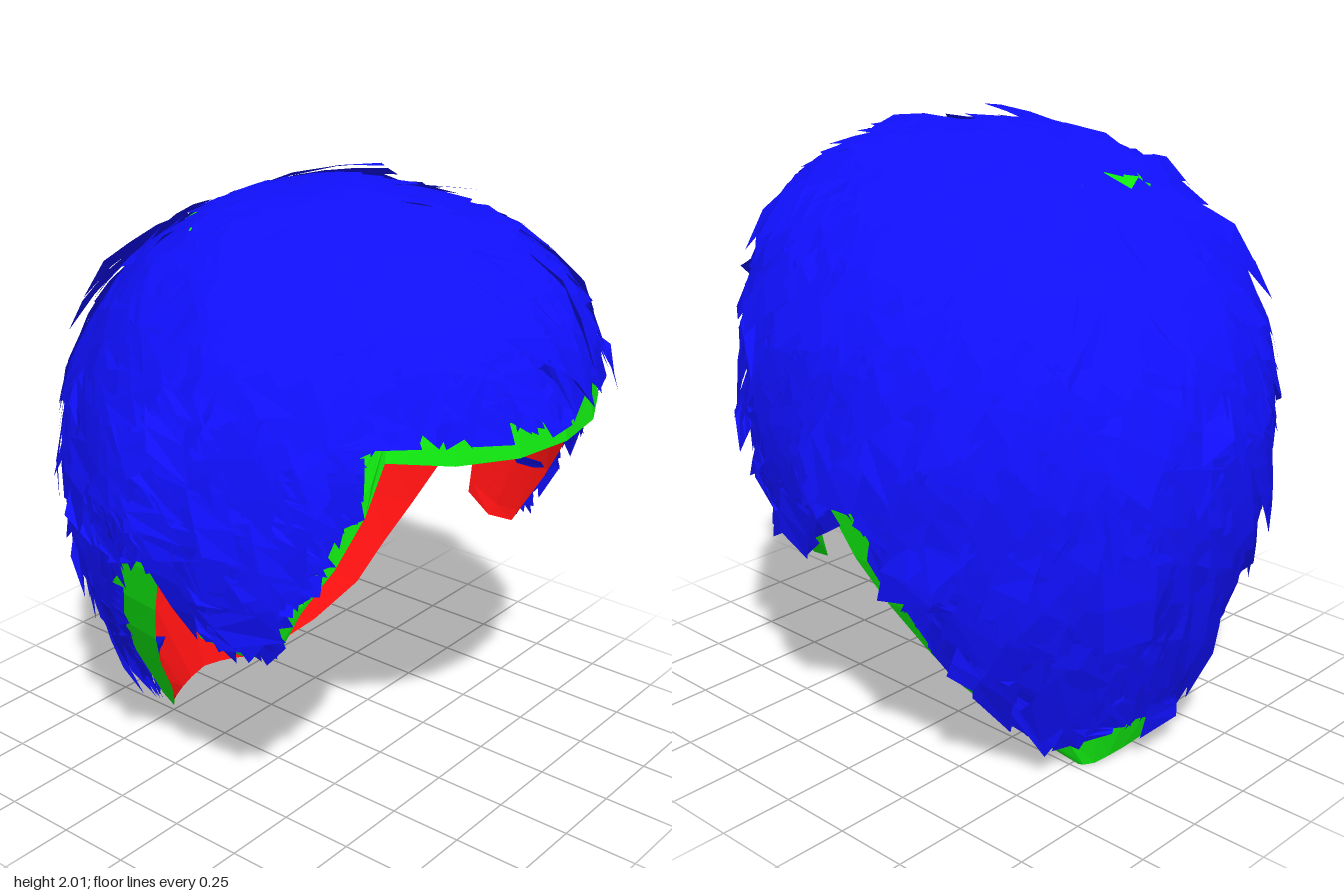
import * as THREE from 'three';

// Head cross-sections: [y, half width, centre z, front depth, back depth]
const RINGS = [
  [0, .23, -.52, .8, .06], [.1, .34, -.4, .8, .21], [.3, .5, -.25, .9, .44], [.5, .63, -.18, .95, .58],
  [.7, .73, -.08, .95, .74], [.9, .785, 0, .87, .855], [1.1, .805, 0, .87, .875], [1.33, .775, 0, .915, .835],
  [1.45, .735, 0, .895, .785], [1.6, .67, 0, .87, .69], [1.75, .55, 0, .785, .55], [1.85, .42, 0, .62, .41],
  [1.92, .23, 0, .35, .23], [1.955, .01, 0, .01, .01],
];
// Lower edge: [angle from the front in degrees, height]; it drops behind the ear
const HEM = [
  [0, 1.33], [15, 1.33], [30, 1.34], [44, 1.36], [46, 1.2], [51, 1.03], [58, .88], [63, .68], [70, .66],
  [79, .7], [84, .88], [89.9, .9], [90, 0], [105, 0], [125, 0], [145, .01], [162, .02], [180, .03],
];
const TOP = 1.955, EAR = .9;
const CENTRE = new THREE.Vector3(0, 1.05, 0);
const WHORL = new THREE.Vector3(-.03, 1.85, -.47);

let seed = 7;
const rand = (lo, hi) => {
  seed = (seed * 1664525 + 1013904223) % 4294967296;
  return lo + (hi - lo) * seed / 4294967296;
};

// Linear lookup in a table sorted by its first column
function lookup(table, v) {
  let i = 0;
  while (i < table.length - 2 && v > table[i + 1][0]) i++;
  const a = table[i], b = table[i + 1];
  const f = THREE.MathUtils.clamp((v - a[0]) / (b[0] - a[0]), 0, 1);
  return a.map((n, k) => n + (b[k] - n) * f);
}
const hemAt = (deg) => lookup(HEM, Math.abs(deg))[1];

function ringPoint(deg, y) {
  const [, w, zc, f, b] = lookup(RINGS, y);
  const a = deg * Math.PI / 180, c = Math.cos(a);
  return new THREE.Vector3(w * Math.sin(a), y, zc + c * (c > 0 ? f : b));
}

function ringCoords(p) {
  const [, w, zc, f, b] = lookup(RINGS, p.y);
  const x = p.x / w, z = (p.z - zc) / (p.z > zc ? f : b);
  return { deg: Math.atan2(Math.abs(x), z) * 180 / Math.PI, r: Math.hypot(x, z) };
}

// Push a point along its ray from the centre onto the head, plus an offset
function project(p, offset = 0) {
  const d = p.clone().sub(CENTRE).normalize();
  let lo = .2, hi = 1.6;
  for (let i = 0; i < 22; i++) {
    const k = (lo + hi) / 2, q = CENTRE.clone().addScaledVector(d, k);
    if (q.y > 0 && q.y < TOP && ringCoords(q).r < 1) lo = k; else hi = k;
  }
  return CENTRE.clone().addScaledVector(d, lo + offset);
}

// Is a strand point far enough above the hem?
function covered(p, trim) {
  const { deg } = ringCoords(p);
  if (deg < 45) return p.y > hemAt(deg) + .02 + trim;
  if (deg < 90) return p.y > hemAt(deg) + trim - .02;
  return p.y > EAR || (deg > 96 + 90 * trim && p.y > .09 + trim);
}

function makeGeometry(positions, index) {
  const g = new THREE.BufferGeometry();
  g.setAttribute('position', new THREE.Float32BufferAttribute(positions, 3));
  g.setIndex(index);
  g.computeVertexNormals();
  return g;
}

// Cap shell in two bands, crown to ear and ear to hem; the lining faces inward
function shell(scale, inward) {
  const angles = [...HEM.slice(1).reverse().map(h => -h[0]), ...HEM.map(h => h[0])];
  const upper = 12, lower = 6, rows = upper + lower, pos = [], idx = [];
  angles.forEach((deg, i) => {
    const hem = hemAt(deg), mid = Math.max(hem, EAR);
    for (let j = 0; j <= rows; j++) {
      const y = j <= upper
        ? TOP - (TOP - mid) * (j / upper) ** 1.6
        : mid - (mid - hem) * (j - upper) / lower;
      const p = ringPoint(deg, y).sub(CENTRE).multiplyScalar(scale).add(CENTRE);
      pos.push(p.x, p.y, p.z);
      // The lower band is open between sideburn and nape
      const open = j > upper && Math.abs(Math.abs(deg + angles[i - 1]) / 2 - 89.95) < .1;
      if (i === 0 || j === 0 || open) continue;
      const d = i * (rows + 1) + j, c = d - 1, b = d - rows - 1, a = b - 1;
      if (inward) idx.push(a, c, b, b, c, d);
      else idx.push(a, b, c, b, d, c);
    }
  });
  return makeGeometry(pos, idx);
}

// Overlapping flat locks that fan out from the whorl
function locks(count) {
  const pos = [], idx = [], segs = 3;
  for (let n = 0; n < count; n++) {
    const h = 1 - 2 * (n + .5) / count, r = Math.sqrt(1 - h * h), a = n * 2.39996;
    const root = project(new THREE.Vector3(r * Math.sin(a), h, r * Math.cos(a)).add(CENTRE));
    const trim = rand(0, .06);
    if (!covered(root, trim)) continue;
    const out = root.clone().sub(CENTRE).normalize();
    const along = root.clone().sub(WHORL);
    along.addScaledVector(out, -along.dot(out)).normalize().applyAxisAngle(out, rand(-.35, .35));
    const side = along.clone().cross(out);
    const width = rand(.05, .1), slant = rand(-.08, .08), taper = rand(.05, .4);
    // A few roots pass through the lining and show inside; a few tips stand out
    const base = rand(0, 1) < .13 ? rand(-.045, -.02) : rand(.002, .015);
    const lift = rand(0, 1) < .08 ? rand(.045, .075) : rand(.01, .04);
    const tilt = rand(-.008, .008);
    const at = (t, s, len) => root.clone()
      .addScaledVector(along, t * (len + s * slant))
      .addScaledVector(side, s * width * (1 - taper * t));
    const start = rand(.24, .45);
    const len = [1, .8, .6, .45, .3, .2].map(k => k * start)
      .find(l => [-1, 0, 1].every(s => covered(project(at(1, s, l)), trim)));
    if (!len) continue;
    const first = pos.length / 3;
    for (let j = 0; j <= segs; j++) {
      const t = j / segs;
      for (const s of [-1, 1]) {
        const p = project(at(t * 1.1 - .1, s, len), base + (lift - base + s * tilt) * t);
        pos.push(p.x, p.y, p.z);
      }
      if (j < segs) {
        const k = first + j * 2;
        idx.push(k, k + 1, k + 2, k + 1, k + 3, k + 2);
      }
    }
  }
  return makeGeometry(pos, idx);
}

export function createModel() {
  seed = 7;
  const group = new THREE.Group();
  group.name = 'wig';
  const add = (name, geometry, color, side = THREE.FrontSide) => {
    const mesh = new THREE.Mesh(geometry, new THREE.MeshStandardMaterial({ color, side, flatShading: true }));
    mesh.name = name;
    group.add(mesh);
  };
  add('cap', shell(1, false), 0x11ee11);
  add('lining', shell(.99, true), 0xff1111);
  add('hairLocks', locks(2200), 0x1010ff, THREE.DoubleSide);
  return group;
}
